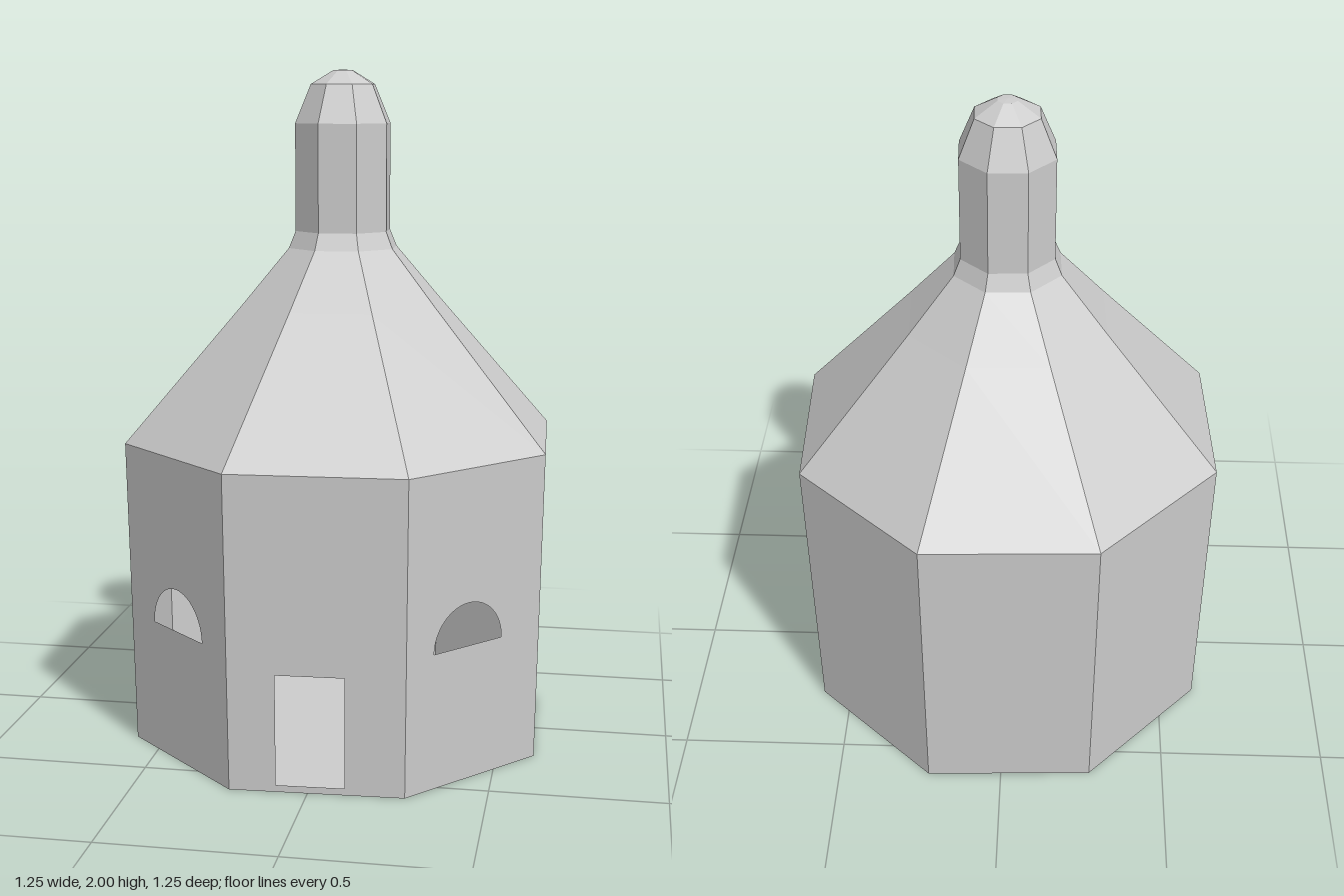
import * as THREE from 'three';

const SIDES = 8;
const STEP = (Math.PI * 2) / SIDES;
const TURN = THREE.MathUtils.degToRad(2.4); // slight turn of the whole octagon
const WALL_H = 0.915, R_BASE = 0.65, R_EAVE = 0.667;

export function createModel() {
  const group = new THREE.Group();
  const material = new THREE.MeshStandardMaterial({
    color: 0xcccccc, flatShading: true, side: THREE.DoubleSide,
  });
  const add = (name, geometry) => {
    const mesh = new THREE.Mesh(geometry, material);
    mesh.name = name;
    group.add(mesh);
    return mesh;
  };

  // openings, in wall coordinates
  const doorway = () => new THREE.Path([
    [-0.115, 0.02], [-0.115, 0.345], [0.08, 0.345], [0.08, 0.02],
  ].map(([x, y]) => new THREE.Vector2(x, y)));
  const archWindow = (x) => {
    const path = new THREE.Path();
    path.absarc(x, 0.4, 0.127, 0, Math.PI, false);
    path.closePath();
    return path;
  };

  // one thin wall that leans out slightly toward the eaves
  const wall = (index, hole) => {
    const b = R_BASE * Math.sin(STEP / 2), t = R_EAVE * Math.sin(STEP / 2);
    const shape = new THREE.Shape([
      new THREE.Vector2(-b, 0), new THREE.Vector2(b, 0),
      new THREE.Vector2(t, WALL_H), new THREE.Vector2(-t, WALL_H),
    ]);
    if (hole) shape.holes.push(hole);
    const geometry = new THREE.ShapeGeometry(shape, 16);
    const p = geometry.attributes.position;
    for (let i = 0; i < p.count; i++) {
      const r = THREE.MathUtils.lerp(R_BASE, R_EAVE, p.getY(i) / WALL_H);
      p.setZ(i, r * Math.cos(STEP / 2));
    }
    geometry.rotateY(TURN + index * STEP);
    geometry.computeVertexNormals();
    return geometry;
  };

  // walls: door in front, arched windows on the two neighbours
  const openings = { 0: doorway(), 1: archWindow(-0.025), 7: archWindow(0.004) };
  const names = { 0: 'doorWall', 1: 'leftWindowWall', 7: 'rightWindowWall' };
  for (let i = 0; i < SIDES; i++) add(names[i] || 'wall' + i, wall(i, openings[i]));

  // roof sweeping up into the neck and its domed cap
  const lathe = (points) => new THREE.LatheGeometry(
    points.map(([r, y]) => new THREE.Vector2(r, y)), SIDES, TURN + STEP / 2);
  add('roof', lathe([[R_EAVE, WALL_H], [0.31, 1.315], [0.167, 1.48], [0.146, 1.53]]));
  add('neck', lathe([[0.146, 1.53], [0.146, 1.845]]));
  add('cap', lathe([[0.146, 1.845], [0.098, 1.958], [0.03, 1.998], [0, 2]]));

  // floor, facing down
  const floor = new THREE.CircleGeometry(R_BASE, SIDES);
  floor.rotateX(Math.PI / 2);
  floor.rotateY(TURN + STEP / 2);
  add('floor', floor);

  return group;
}
